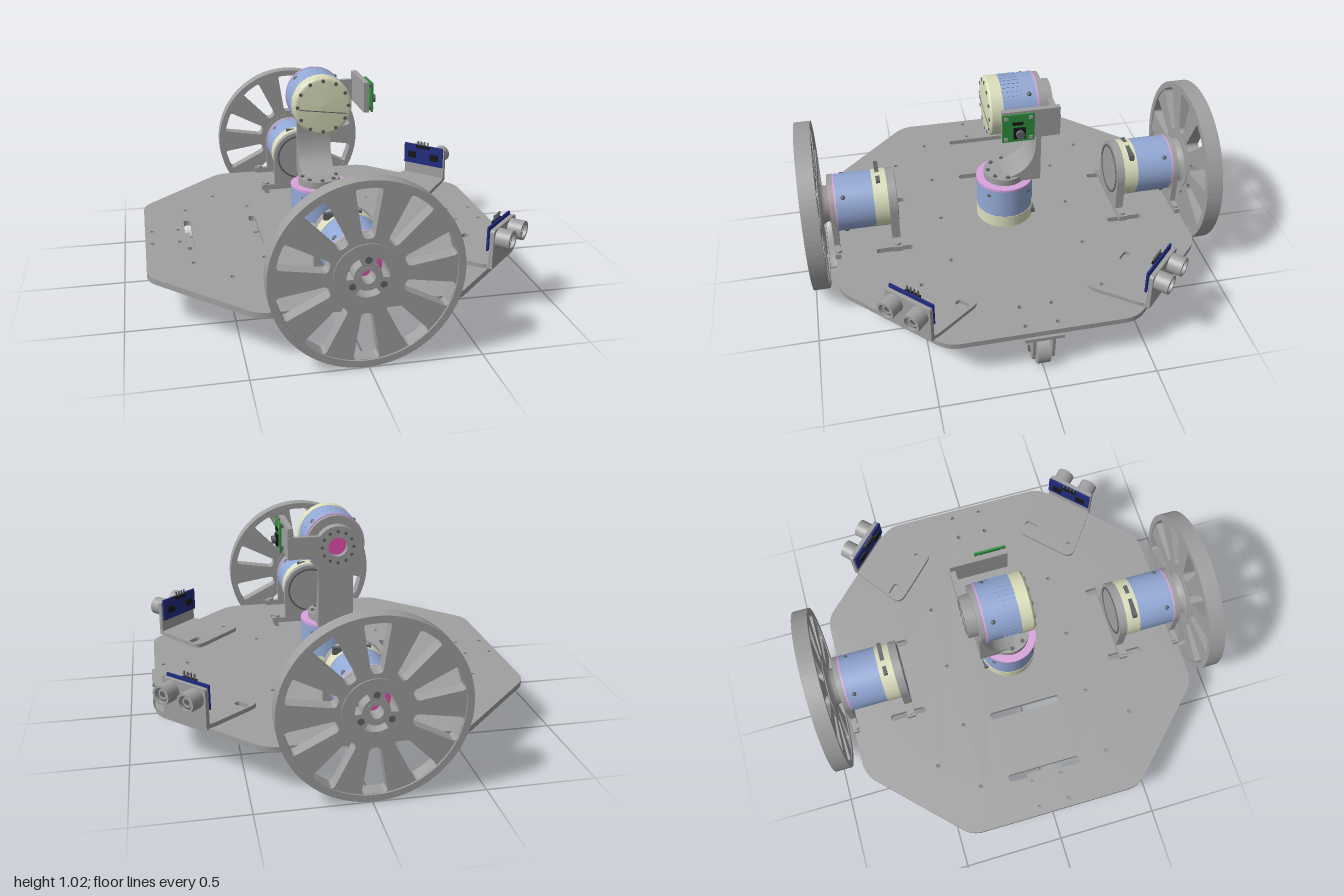
import * as THREE from 'three';

const mat = (name, color) => {
  const m = new THREE.MeshStandardMaterial({ color, side: THREE.DoubleSide });
  m.name = name;
  return m;
};
const PI = Math.PI, CX = -0.01; // CX: common axis of wheels and motors

export function createModel() {
  const gray = mat('gray metal', 0xa0a0a0);
  const blue = mat('motor blue', 0x93a9d6);
  const cream = mat('cream plastic', 0xdcdfbd);
  const lilac = mat('lilac ring', 0xd9a3dc);
  const magenta = mat('magenta face', 0xf555b8);
  const green = mat('green board', 0x2f8f3c);
  const navy = mat('navy board', 0x202c80);
  const black = mat('black', 0x151515);
  const dark = mat('dark steel', 0x606468);

  const root = new THREE.Group();
  root.name = 'roverRobot';

  // ---- helpers ----
  const group = (name, parent) => {
    const g = new THREE.Group();
    g.name = name;
    parent.add(g);
    return g;
  };
  const add = (parent, name, geo, m, x = 0, y = 0, z = 0) => {
    const mesh = new THREE.Mesh(geo, m);
    mesh.name = name;
    mesh.position.set(x, y, z);
    parent.add(mesh);
    return mesh;
  };
  const box = (parent, name, m, x0, x1, y0, y1, z0, z1) =>
    add(parent, name, new THREE.BoxGeometry(x1 - x0, y1 - y0, z1 - z0), m, (x0 + x1) / 2, (y0 + y1) / 2, (z0 + z1) / 2);
  // cylinder along z from z0 to z1
  const cylZ = (parent, name, m, r, z0, z1, x = 0, y = 0, seg = 48) =>
    add(parent, name, new THREE.CylinderGeometry(r, r, z1 - z0, seg).rotateX(PI / 2), m, x, y, (z0 + z1) / 2);
  const extrude = (shape, depth) => new THREE.ExtrudeGeometry(shape, { depth, bevelEnabled: false, curveSegments: 24 });
  // trace a polygon with rounded corners into a Shape or Path
  const rounded = (path, pts, r) => {
    const P = pts.map(p => new THREE.Vector2(...p)), n = P.length;
    P.forEach((p, i) => {
      const toward = q => p.clone().add(q.clone().sub(p).setLength(r));
      const a = toward(P[(i + n - 1) % n]), b = toward(P[(i + 1) % n]);
      if (i) path.lineTo(a.x, a.y); else path.moveTo(a.x, a.y);
      path.quadraticCurveTo(p.x, p.y, b.x, b.y);
    });
    path.closePath();
    return path;
  };
  const circle = (path, x, y, r) => path.absarc(x, y, r, 0, PI * 2, true);
  const ring = (ro, ri) => {
    const s = new THREE.Shape().absarc(0, 0, ro, 0, PI * 2);
    s.holes.push(circle(new THREE.Path(), 0, 0, ri));
    return s;
  };
  const slot = (x, y, w, h) => rounded(new THREE.Path(),
    [[x - w, y - h], [x + w, y - h], [x + w, y + h], [x - w, y + h]], w * 0.95);

  // ---- octagonal deck with slots and holes; shape y becomes +z ----
  const H = 0.877, K = 0.435;
  const deck = rounded(new THREE.Shape(),
    [[-H, -K], [-K, -H], [K, -H], [H, -K], [H, K], [K, H], [-K, H], [-H, K]], 0.06);
  for (const x of [-0.662, -0.327]) deck.holes.push(slot(x, 0, 0.018, 0.185));
  for (const s of [-1, 1]) {
    for (const x of [-0.192, 0.193]) deck.holes.push(slot(x, s * 0.59, 0.016, 0.09));
    for (const [x, z] of [[-0.5, 0.51], [-0.66, 0.33], [-0.33, 0.33], [0, 0.33], [0.33, 0.33],
      [-0.84, 0.075], [-0.71, 0.075], [0.71, 0.075], [0.83, 0.075]])
      deck.holes.push(circle(new THREE.Path(), x, s * z, 0.011));
  }
  add(root, 'deck', extrude(deck, 0.027).rotateX(PI / 2), gray, -0.008, 0.231, 0);

  // ---- gear motor along z, output face at the last z ----
  const motor = (parent, name, z0, z1, z2, z3) => {
    const g = group(name, parent);
    cylZ(g, 'motorEndCap', cream, 0.143, z0, z1);
    cylZ(g, 'motorBody', blue, 0.141, z1, z2);
    cylZ(g, 'motorOutputRing', lilac, 0.143, z2, z3);
    for (let i = 0; i < 4; i++) {
      const a = PI / 4 + i * PI / 2;
      add(g, 'bodyScrew', new THREE.SphereGeometry(0.012, 12, 8), dark,
        0.137 * Math.cos(a), 0.137 * Math.sin(a), z2 - 0.035);
    }
    return g;
  };

  // ---- drive units: motor, bracket and spoked wheel, one on each side ----
  const windowAt = a => {
    const c = Math.cos(a), s = Math.sin(a);
    return rounded(new THREE.Path(), [[0.165, -0.024], [0.38, -0.058], [0.38, 0.058], [0.165, 0.024]]
      .map(([r, t]) => [r * c - t * s, r * s + t * c]), 0.02);
  };
  const spokes = ring(0.39, 0.14);
  for (let i = 0; i < 10; i++) spokes.holes.push(windowAt(PI / 2 + i * PI / 5));
  const hub = ring(0.145, 0.03);
  for (let i = 0; i < 3; i++) {
    const a = -PI / 2 + i * PI * 2 / 3, p = new THREE.Path();
    p.absarc(0, 0, 0.09, a - 0.6, a + 0.6, false);
    p.absarc(0, 0, 0.06, a + 0.6, a - 0.6, true);
    p.closePath();
    hub.holes.push(p);
  }
  const plate = new THREE.Shape();
  plate.moveTo(-0.215, -0.183).lineTo(0.215, -0.183).lineTo(0.215, -0.155).lineTo(0.143, -0.155).lineTo(0.143, 0);
  plate.absarc(0, 0, 0.143, 0, PI, false);
  plate.lineTo(-0.143, -0.155).lineTo(-0.215, -0.155).closePath();

  for (const side of [0, 1]) {
    const g = group(side ? 'rearDriveUnit' : 'frontDriveUnit', root);
    g.position.set(CX, 0.414, 0);
    g.rotation.y = side * PI;
    motor(g, 'driveMotor', 0.595, 0.665, 0.845, 0.853);
    box(g, 'connectorRecess', dark, -0.11, 0.06, 0.11, 0.142, 0.625, 0.645);
    add(g, 'innerBracket', extrude(plate, 0.04), gray, 0, 0, 0.555);
    add(g, 'outerBracket', extrude(plate, 0.027), gray, 0, 0, 0.853);
    add(g, 'bracketGroove', extrude(ring(0.125, 0.115), 0.004), dark, 0, 0, 0.552);
    for (const x of [-0.19, 0.19]) for (const z of [0.575, 0.862])
      add(g, 'footBolt', new THREE.CylinderGeometry(0.016, 0.016, 0.012, 16), gray, x, -0.15, z);
    cylZ(g, 'outputFace', magenta, 0.1, 0.88, 0.884);
    add(g, 'wheelNeck', new THREE.LatheGeometry([[0.088, 0.88], [0.09, 0.9], [0.098, 0.915], [0.118, 0.926]]
      .map(p => new THREE.Vector2(...p)), 48).rotateX(PI / 2), gray);
    add(g, 'wheelRim', new THREE.ExtrudeGeometry(ring(0.413, 0.382),
      { depth: 0.078, bevelEnabled: false, curveSegments: 48 }), gray, 0, 0, 0.922);
    add(g, 'wheelSpokes', extrude(spokes, 0.064), gray, 0, 0, 0.928);
    add(g, 'wheelHub', extrude(hub, 0.074), gray, 0, 0, 0.924);
    for (let i = 0; i < 3; i++) {
      const a = PI / 2 + i * PI * 2 / 3;
      cylZ(g, 'hubBolt', dark, 0.016, 0.99, 1.0, 0.075 * Math.cos(a), 0.075 * Math.sin(a), 6);
    }
    add(g, 'hubCollar', extrude(ring(0.045, 0.03), 0.004), gray, 0, 0, 0.996);
  }

  // ---- casters ----
  const fork = rounded(new THREE.Shape(), [[-0.1, 0.125], [0.065, 0.125], [0.05, -0.03], [-0.04, -0.03], [-0.06, 0.05]], 0.02);
  for (const x of [-0.735, 0.813]) {
    const g = group('caster', root);
    g.position.set(x, 0.074, 0);
    cylZ(g, 'casterWheel', gray, 0.074, -0.03, 0.03);
    cylZ(g, 'casterAxle', dark, 0.015, -0.06, 0.06, 0, 0, 16);
    for (const z of [-0.052, 0.038]) add(g, 'casterFork', extrude(fork, 0.014), gray, 0, 0, z);
    box(g, 'casterMount', gray, -0.1, 0.07, 0.112, 0.13, -0.09, 0.09);
  }

  // ---- pan motor standing on the deck ----
  const pan = motor(root, 'panMotor', 0.231, 0.295, 0.45, 0.462);
  pan.position.x = CX;
  pan.rotation.x = -PI / 2;
  box(root, 'panConnector', dark, CX - 0.07, CX + 0.07, 0.245, 0.27, -0.144, -0.125);
  add(root, 'panFlange', new THREE.CylinderGeometry(0.105, 0.105, 0.035, 48), gray, CX, 0.479, 0);
  for (let i = 0; i < 8; i++) {
    const a = i * PI / 4;
    add(root, 'flangeBolt', new THREE.CylinderGeometry(0.01, 0.01, 0.01, 12), dark,
      CX + 0.085 * Math.cos(a), 0.499, 0.085 * Math.sin(a));
  }

  // ---- upright arm; profile is (z, y), extruded across x ----
  const arm = new THREE.Shape();
  arm.moveTo(0.02, 0.47).lineTo(-0.165, 0.47).lineTo(-0.165, 0.88).lineTo(-0.14, 0.88).lineTo(-0.14, 0.68);
  arm.quadraticCurveTo(-0.13, 0.51, 0.02, 0.497).closePath();
  add(root, 'tiltArm', extrude(arm, 0.17).translate(0, 0, -0.085).rotateY(-PI / 2), gray, CX);

  // ---- tilt motor facing forward ----
  const tilt = group('tiltHead', root);
  tilt.position.set(CX, 0.88, 0);
  motor(tilt, 'tiltMotor', -0.085, -0.03, 0.132, 0.14).rotation.y = PI;
  cylZ(tilt, 'armHead', gray, 0.138, -0.165, -0.14);
  add(tilt, 'tiltHorn', extrude(ring(0.1, 0.045), 0.05), gray, 0, 0, -0.215);
  cylZ(tilt, 'hornCenter', magenta, 0.046, -0.185, -0.165);
  add(tilt, 'frontDome', new THREE.LatheGeometry([[0.143, 0], [0.137, 0.009], [0.125, 0.014], [0, 0.018]]
    .map(p => new THREE.Vector2(...p)), 48).rotateX(PI / 2), cream, 0, 0, 0.084);
  for (let i = 0; i < 12; i++) {
    const a = i * PI / 6, c = Math.cos(a), s = Math.sin(a);
    cylZ(tilt, 'domeScrew', dark, 0.009, 0.09, 0.1, 0.124 * c, 0.124 * s, 12);
    cylZ(tilt, 'hornScrew', dark, 0.008, -0.218, -0.21, 0.075 * c, 0.075 * s, 12);
  }
  add(tilt, 'domeSeam', new THREE.BoxGeometry(0.23, 0.004, 0.004), dark, 0, -0.025, 0.1).rotation.z = -0.12;
  // cooling ribs around the body
  for (let i = 0; i < 40; i++) {
    const a = i * PI / 20;
    add(tilt, 'coolingRib', new THREE.BoxGeometry(0.004, 0.006, 0.09), blue,
      0.141 * Math.cos(a), 0.141 * Math.sin(a), -0.015).rotation.z = a;
  }

  // ---- camera and its bracket ----
  const cam = group('camera', root);
  box(cam, 'cameraArm', gray, 0.05, 0.225, 0.83, 0.935, -0.215, -0.19);
  box(cam, 'cameraPlate', gray, 0.2, 0.226, 0.828, 0.977, -0.213, 0.06);
  box(cam, 'cameraBoard', green, 0.237, 0.246, 0.83, 0.973, -0.088, 0.062);
  for (const y of [0.847, 0.956]) for (const z of [-0.07, 0.045]) {
    box(cam, 'standoff', dark, 0.224, 0.238, y - 0.008, y + 0.008, z - 0.008, z + 0.008);
    box(cam, 'boardPad', gray, 0.245, 0.249, y - 0.009, y + 0.009, z - 0.009, z + 0.009);
  }
  box(cam, 'lensBase', black, 0.246, 0.257, 0.85, 0.905, -0.045, 0.01);
  add(cam, 'lens', new THREE.CylinderGeometry(0.02, 0.02, 0.025, 24).rotateZ(PI / 2), dark, 0.262, 0.878, -0.018);
  box(cam, 'boardChip', black, 0.246, 0.251, 0.92, 0.935, -0.035, 0.015);

  // ---- distance sensors on the two +x corners; local +z points outward ----
  const base = rounded(new THREE.Shape(), [[-0.125, 0.01], [0.125, 0.01], [0.17, -0.305], [-0.17, -0.305]], 0.055);
  base.holes.push(circle(new THREE.Path(), -0.118, -0.237, 0.011), rounded(new THREE.Path(),
    [[0.08, -0.255], [0.15, -0.255], [0.15, -0.22], [0.08, -0.22]], 0.016));
  const upright = rounded(new THREE.Shape(), [[-0.125, 0.23], [0.125, 0.23], [0.125, 0.42], [-0.125, 0.42]], 0.015);
  for (const s of [1, -1]) {
    const g = group('distanceSensor', root);
    g.position.set(0.737, 0, s * 0.58);
    g.rotation.y = s > 0 ? PI / 4 : PI * 3 / 4;
    add(g, 'sensorBase', extrude(base, 0.02).rotateX(PI / 2), gray, 0, 0.251, 0);
    box(g, 'sensorBaseEdge', gray, -0.125, 0.125, 0.231, 0.251, -0.05, 0.01);
    add(g, 'sensorUpright', extrude(upright, 0.02), gray, 0, 0, -0.01);
    box(g, 'sensorBoard', navy, -0.122, 0.122, 0.315, 0.43, -0.026, -0.017);
    for (const x of [-0.07, 0.07]) {
      add(g, 'sensorBarrel', extrude(ring(0.046, 0.034), 0.07), gray, x, 0.37, 0.008);
      cylZ(g, 'sensorMesh', dark, 0.035, 0.01, 0.062, x, 0.37, 32);
      add(g, 'meshRing', extrude(ring(0.024, 0.015), 0.005), gray, x, 0.37, 0.061);
      box(g, 'boardChip', black, x - 0.025, x + 0.025, 0.35, 0.385, -0.034, -0.025);
    }
    box(g, 'pinHeader', black, -0.04, 0.04, 0.415, 0.43, -0.04, -0.026);
    for (let i = 0; i < 4; i++)
      box(g, 'pin', dark, -0.033 + i * 0.02, -0.027 + i * 0.02, 0.42, 0.455, -0.036, -0.03);
  }
  return root;
}
